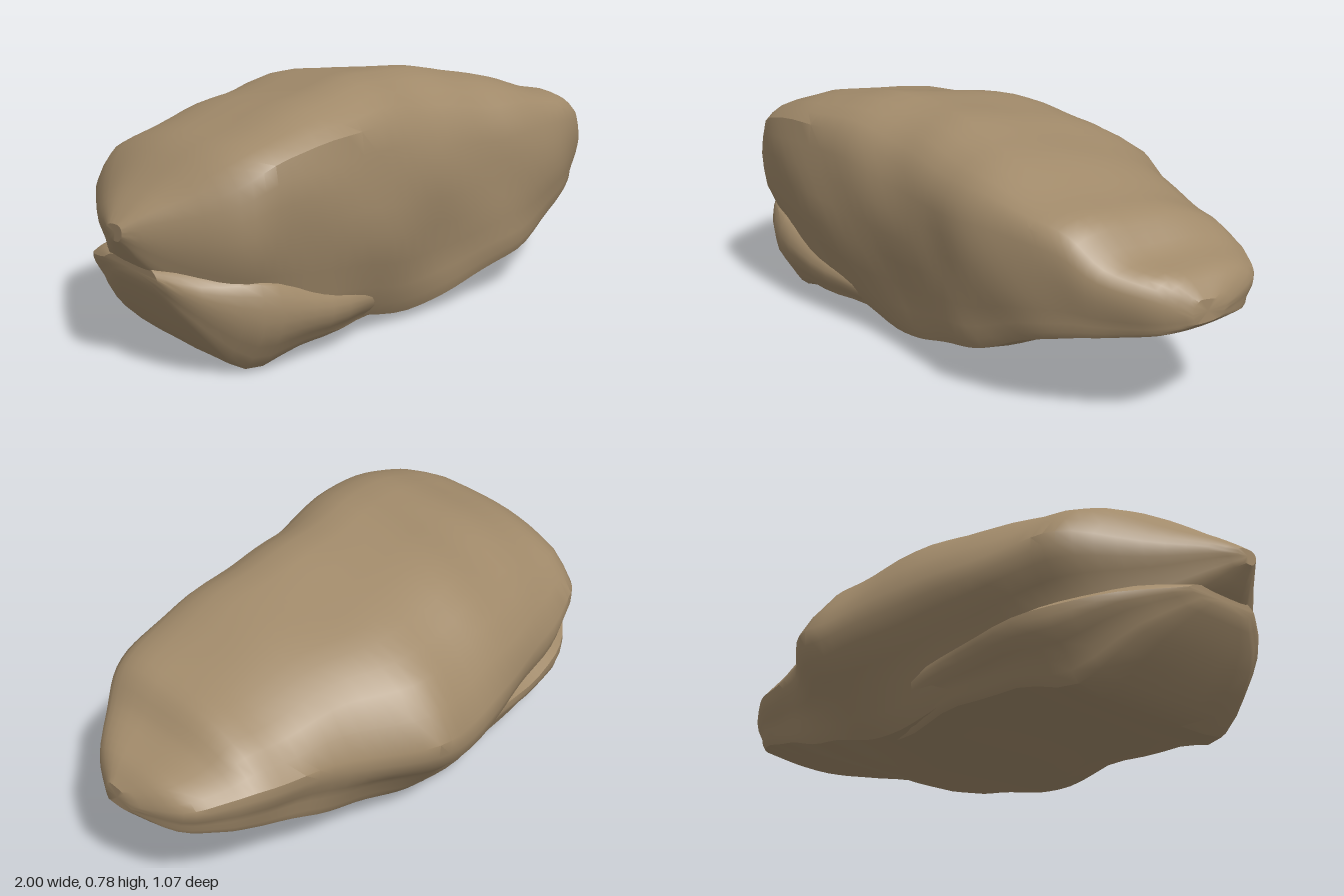
import * as THREE from 'three';
import { toCreasedNormals } from 'three/addons/utils/BufferGeometryUtils.js';

const mix = THREE.MathUtils.lerp;

// Catmull-Rom blend of four section rows
function blend(p0, p1, p2, p3, t) {
  return p1.map((b, k) => {
    const a = p0[k], c = p2[k], d = p3[k];
    return b + 0.5 * t * (c - a + t * (2 * a - 5 * b + 4 * c - d + t * (3 * (b - c) + d - a)));
  });
}

// Cross-section ring: crown, back slope, underside, steep front
function ring([x, zb, zf, yt, yb, yr, yk, bb, bf]) {
  const z = (t) => mix(zf, zb, t);
  const pts = [
    [z(0.23), yt], [z(0.42), mix(yk, yt, 0.95)], [z(0.6), mix(yk, yt, 0.87)],
    [z(0.74), mix(yk, yt, 0.75)], [z(0.89), mix(yk, yt, 0.49)], [zb, yk],
    [mix(zb, bb, 0.1), mix(yk, yb, 0.28)], [mix(zb, bb, 0.65), mix(yk, yb, 0.6)],
    [bb, mix(yb, yk, 0.1)], [mix(bb, bf, 0.35), yb], [mix(bb, bf, 0.7), yb],
    [bf, mix(yb, yr, 0.04)], [mix(bf, zf, 0.4), mix(yb, yr, 0.2)],
    [mix(bf, zf, 0.88), mix(yb, yr, 0.48)], [zf, mix(yb, yr, 0.76)],
    [z(0.025), yr], [z(0.1), mix(yr, yt, 0.65)],
  ];
  return pts.map(([pz, py]) => new THREE.Vector3(x, py, pz));
}

// Gentle uneven weathering
function weather(v, amount) {
  const { x, y, z } = v;
  v.y += amount * (Math.sin(9 * x + 5 * z) * Math.sin(11 * z - 3 * x) + 0.5 * Math.sin(21 * x + 8 * y));
  v.z += amount * (Math.sin(8 * x - 9 * y) + 0.5 * Math.sin(17 * y + 14 * x));
  v.y = Math.max(v.y, 0);
  return v;
}

function loft(rows, steps, amount) {
  const rings = [];
  const last = rows.length - 1;
  for (let i = 0; i < last; i++) {
    for (let s = 0; s < steps + (i === last - 1 ? 1 : 0); s++) {
      const row = blend(rows[Math.max(i - 1, 0)], rows[i], rows[i + 1], rows[Math.min(i + 2, last)], s / steps);
      // Halve each span of the ring, keeping its corners fairly firm
      const curve = new THREE.CatmullRomCurve3(ring(row), true, 'catmullrom', 0.3);
      rings.push(curve.getPoints(34).slice(0, 34).map((v) => weather(v, amount)));
    }
  }
  const n = rings[0].length;
  const points = rings.flat();
  const index = [];
  for (let i = 0; i < rings.length - 1; i++) {
    for (let j = 0; j < n; j++) {
      const k = (j + 1) % n;
      const a = i * n + j, b = a + n, c = i * n + k, d = c + n;
      index.push(a, b, c, b, d, c);
    }
  }
  // Close both ends
  for (const end of [0, rings.length - 1]) {
    const centre = points.length;
    const mid = new THREE.Vector3();
    rings[end].forEach((v) => mid.addScaledVector(v, 1 / n));
    points.push(mid);
    for (let j = 0; j < n; j++) {
      const a = end * n + j, b = end * n + (j + 1) % n;
      if (end === 0) index.push(centre, a, b);
      else index.push(centre, b, a);
    }
  }
  const geometry = new THREE.BufferGeometry().setFromPoints(points);
  geometry.setIndex(index);
  return toCreasedNormals(geometry, 0.6);
}

export function createModel() {
  const group = new THREE.Group();
  group.name = 'boulder';
  const stone = new THREE.MeshStandardMaterial({ color: 0xa18a6a });
  stone.name = 'brown stone';

  // x, back z, front z, top y, bottom y, front rim y, back edge y, underside back z, underside front z
  const body = loft([
    [-1.0, 0.16, 0.24, 0.45, 0.40, 0.44, 0.43, 0.18, 0.22],
    [-0.91, -0.05, 0.33, 0.53, 0.29, 0.50, 0.43, 0.02, 0.28],
    [-0.77, -0.28, 0.48, 0.64, 0.18, 0.56, 0.44, -0.15, 0.38],
    [-0.63, -0.35, 0.52, 0.70, 0.12, 0.64, 0.43, -0.25, 0.40],
    [-0.42, -0.42, 0.53, 0.745, 0.08, 0.67, 0.42, -0.30, 0.41],
    [-0.18, -0.49, 0.485, 0.775, 0.02, 0.67, 0.41, -0.32, 0.38],
    [0.04, -0.53, 0.44, 0.755, 0.02, 0.63, 0.40, -0.33, 0.37],
    [0.21, -0.53, 0.43, 0.735, 0.07, 0.59, 0.40, -0.33, 0.38],
    [0.4, -0.42, 0.425, 0.695, 0.12, 0.59, 0.40, -0.32, 0.38],
    [0.6, -0.37, 0.38, 0.63, 0.20, 0.575, 0.42, -0.30, 0.34],
    [0.74, -0.34, 0.32, 0.59, 0.25, 0.54, 0.43, -0.28, 0.28],
    [0.83, -0.30, 0.26, 0.505, 0.27, 0.47, 0.42, -0.25, 0.22],
    [0.94, -0.22, 0.16, 0.47, 0.30, 0.43, 0.40, -0.18, 0.13],
    [1.0, -0.06, 0.06, 0.41, 0.34, 0.38, 0.37, -0.04, 0.05],
  ], 4, 0.006);

  // Broken slab wedged beneath the right end
  const slab = loft([
    [-0.93, 0.02, 0.30, 0.33, 0.27, 0.31, 0.30, 0.08, 0.26],
    [-0.85, -0.18, 0.41, 0.34, 0.15, 0.29, 0.25, -0.08, 0.36],
    [-0.7, -0.30, 0.49, 0.33, 0.0, 0.28, 0.22, -0.20, 0.38],
    [-0.52, -0.36, 0.48, 0.28, 0.03, 0.23, 0.21, -0.27, 0.40],
    [-0.3, -0.37, 0.44, 0.21, 0.045, 0.17, 0.19, -0.30, 0.38],
    [-0.1, -0.37, 0.34, 0.18, 0.02, 0.13, 0.17, -0.30, 0.28],
    [0.12, -0.33, 0.12, 0.15, 0.06, 0.12, 0.14, -0.28, 0.08],
  ], 3, 0.005);

  for (const [name, geometry] of [['boulderBody', body], ['lowerSlab', slab]]) {
    const mesh = new THREE.Mesh(geometry, stone);
    mesh.name = name;
    group.add(mesh);
  }
  return group;
}
